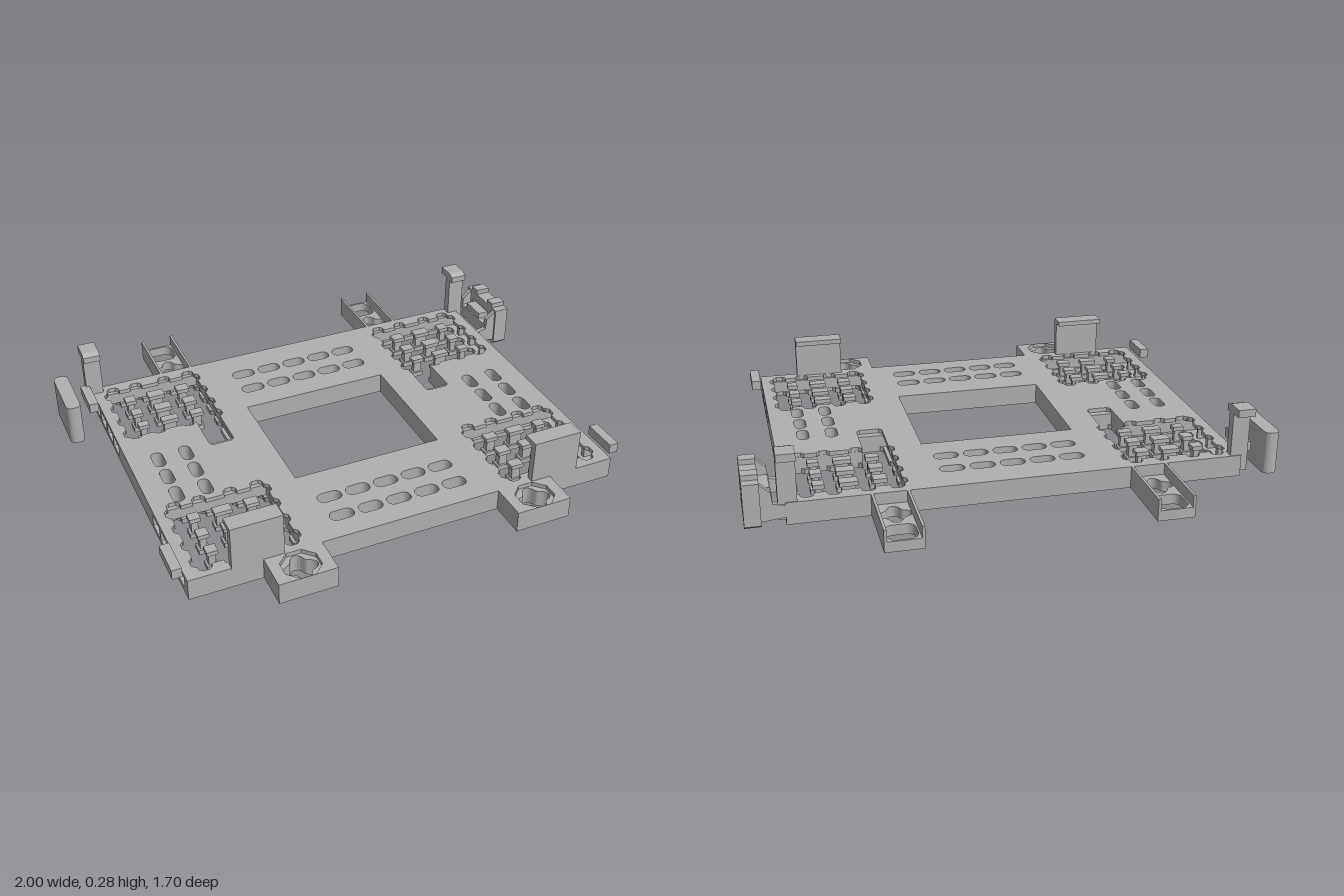
import * as THREE from 'three';

const grey = new THREE.MeshStandardMaterial({ color: 0xb0b0b0 });
grey.name = 'grey plastic';

// Plate edges and the lattice slot centres
const EDGE = 0.852, BACK = -0.575, FRONT = 0.702;
const XS = [0.45, 0.555, 0.677, 0.773];
const ZS_BACK = [-0.488, -0.39, -0.292, -0.203];
const ZS_FRONT = [0.337, 0.43, 0.527, 0.622];
const HALF = 0.027;
const LAYERS = { base: [0, 0.02], core: [0.02, 0.068], skin: [0.068, 0.085] };

const toVec = (pts) => pts.map(([a, b]) => new THREE.Vector2(a, b));
const mirror = (pts, s) => pts.map(([x, z]) => [x * s, z]);

function add(parent, name, geometry) {
  const mesh = new THREE.Mesh(geometry, grey);
  mesh.name = name;
  parent.add(mesh);
  return mesh;
}

function box(parent, name, x0, x1, y0, y1, z0, z1) {
  const g = new THREE.BoxGeometry(Math.abs(x1 - x0), y1 - y0, z1 - z0);
  return add(parent, name, g.translate((x0 + x1) / 2, (y0 + y1) / 2, (z0 + z1) / 2));
}

// Plan outline (x, z) with holes, raised from y0 to y1
function slab(parent, name, outline, holes, [y0, y1]) {
  const shape = new THREE.Shape(toVec(outline));
  holes.forEach((h) => shape.holes.push(new THREE.Path(toVec(h))));
  const g = new THREE.ExtrudeGeometry(shape, { depth: y1 - y0, bevelEnabled: false });
  return add(parent, name, g.rotateX(Math.PI / 2).translate(0, y1, 0));
}

// Rounded rectangle in plan
function rounded(cx, cz, w, d, r, n = 5) {
  const pts = [];
  [[1, 1], [-1, 1], [-1, -1], [1, -1]].forEach(([sx, sz], q) => {
    for (let i = 0; i <= n; i++) {
      const a = (q + i / n) * Math.PI / 2;
      pts.push([cx + sx * (w / 2 - r) + r * Math.cos(a), cz + sz * (d / 2 - r) + r * Math.sin(a)]);
    }
  });
  return pts;
}

// Four-lobed hole for a screw
function clover(cx, cz, r) {
  return Array.from({ length: 40 }, (_, i) => {
    const a = i / 40 * Math.PI * 2, k = r * (0.84 + 0.16 * Math.cos(4 * a));
    return [cx + k * Math.cos(a), cz + k * Math.sin(a)];
  });
}

const octagon = (cx, cz, r) => Array.from({ length: 8 }, (_, i) => {
  const a = (i + 0.5) * Math.PI / 4;
  return [cx + r * Math.cos(a), cz + r * Math.sin(a)];
});

// Chamfered slot end standing out of an edge
function bump(c, h, base, d) {
  const k = 0.012, s = Math.sign(d);
  return [[c - h, base], [c - h, base + d - s * k], [c - h + k, base + d],
    [c + h - k, base + d], [c + h, base + d - s * k], [c + h, base]];
}

// Scalloped outline of one lattice, with an optional long finger towards the middle
function latticeHole(zs, finger) {
  const h = 0.025, z0 = zs[0] - HALF, z1 = zs[3] + HALF;
  const x0 = XS[0] - HALF, x1 = XS[3] + HALF;
  const swap = (pts) => pts.map(([a, b]) => [b, a]);
  const top = XS.flatMap((x) => bump(x, h, z0, -0.03));
  const right = swap(zs.flatMap((z) => bump(z, h, x1, 0.016)));
  const bottom = XS.flatMap((x, i) => (finger && i === 0
    ? bump(0.476, 0.05, z1, finger) : bump(x, h, z1, finger ? 0.014 : 0.025)));
  const left = swap(zs.flatMap((z) => bump(z, h, x0, -0.015)));
  return [...top, ...right, ...bottom.reverse(), ...left.reverse()];
}

// Plate outline; the core is notched at the sides where the tunnels come out
function plateOutline(notched) {
  const notches = notched ? [
    [EDGE, -0.528], [0.412, -0.528], [0.412, -0.03], [0.526, -0.03], [0.526, -0.163], [EDGE, -0.163],
    [EDGE, 0.297], [0.412, 0.297], [0.412, 0.662], [EDGE, 0.662]] : [];
  const half = [[EDGE, BACK], ...notches, [EDGE, FRONT], [0.577, FRONT], [0.577, 0.845],
    [0.356, 0.845], [0.356, FRONT]];
  return [...half, ...mirror(half, -1).reverse()];
}

// Central window and the rows of ventilation slots
function commonHoles() {
  const holes = [[[-0.303, -0.187], [0.3, -0.187], [0.3, 0.325], [-0.303, 0.325]]];
  for (const z of [-0.43, -0.315, 0.478, 0.59])
    for (let i = -2; i <= 2; i++) holes.push(rounded(i * 0.115, z, 0.095, 0.052, 0.025));
  for (const x of [-0.74, -0.628, 0.623, 0.735])
    for (const z of [0.008, 0.122, 0.237]) holes.push(rounded(x, z, 0.046, 0.092, 0.022));
  return holes;
}

function buildPlate(group) {
  for (const [name, range] of Object.entries(LAYERS)) {
    const holes = commonHoles();
    for (const s of [-1, 1]) {
      holes.push(name === 'skin' ? octagon(s * 0.467, 0.775, 0.074) : clover(s * 0.467, 0.775, 0.064));
      if (name === 'core') continue;
      holes.push(mirror(latticeHole(ZS_BACK, name === 'skin' ? 0.175 : 0.147), s));
      holes.push(mirror(latticeHole(ZS_FRONT, 0), s));
    }
    slab(group, name + 'Plate', plateOutline(name === 'core'), holes, range);
  }
}

// Islands of the lattices and the wall pieces between side tunnels
function buildLattices(group) {
  for (const s of [-1, 1]) for (const zs of [ZS_BACK, ZS_FRONT]) for (let j = 0; j < 3; j++) {
    const z0 = zs[j] + HALF, z1 = zs[j + 1] - HALF;
    box(group, 'tunnelWall', s * 0.815, s * EDGE, ...LAYERS.core, zs[j] + 0.039, zs[j + 1] - 0.039);
    for (let i = 0; i < 3; i++) {
      const x0 = XS[i] + HALF, x1 = XS[i + 1] - HALF, k = 0.008;
      box(group, 'islandFoot', s * x0, s * x1, ...LAYERS.base, z0, z1);
      box(group, 'islandPost', s * (x0 + k), s * (x1 - k), ...LAYERS.core, z0 + k, z1 - k);
      box(group, 'islandCap', s * x0, s * x1, ...LAYERS.skin, z0, z1);
    }
  }
}

// Trough-shaped mounting tab at the back
function buildBackTab(group, s) {
  const c = s * 0.484, w = 0.07, end = -0.855;
  const outline = [[c - w, end], [c + w, end], [c + w, BACK], [c - w, BACK]];
  slab(group, 'backTabFloor', outline,
    [rounded(c, -0.793, 0.108, 0.108, 0.03), clover(c, -0.66, 0.062)], [0, 0.04]);
  for (const t of [-1, 1])
    box(group, 'backTabWall', c + t * (w - 0.01), c + t * w, 0, 0.085, end, BACK);
}

// Upright stop with a small lip at the front
function buildFrontStop(group, s) {
  box(group, 'frontStop', s * 0.498, s * 0.693, 0.08, 0.255, 0.675, 0.703);
  box(group, 'frontStopLip', s * 0.498, s * 0.693, 0.235, 0.255, 0.633, 0.675);
}

// Hooked post at the back corners
function buildHook(group, s) {
  const profile = [[-0.57, 0.02], [-0.535, 0.02], [-0.535, 0.25], [-0.515, 0.25], [-0.515, 0.275],
    [-0.54, 0.285], [-0.612, 0.285], [-0.612, 0.255], [-0.57, 0.255]];
  const g = new THREE.ExtrudeGeometry(new THREE.Shape(toVec(profile)), { depth: 0.068, bevelEnabled: false });
  // profile axis becomes z, extrusion runs along -x
  add(group, 'backHook', g.rotateY(-Math.PI / 2).translate(s * 0.844 + 0.034, 0, 0));
}

// Framed clip on the right back corner
function buildClip(group) {
  const frame = new THREE.Shape(toVec([[-0.582, 0.01], [-0.57, 0], [-0.34, 0], [-0.33, 0.01], [-0.33, 0.17],
    [-0.365, 0.17], [-0.365, 0.19], [-0.41, 0.19], [-0.41, 0.17], [-0.5, 0.17], [-0.5, 0.19],
    [-0.545, 0.19], [-0.545, 0.17], [-0.582, 0.17]]));
  frame.holes.push(new THREE.Path(toVec([[-0.53, 0.04], [-0.37, 0.04], [-0.37, 0.132], [-0.53, 0.132]])));
  const g = new THREE.ExtrudeGeometry(frame, { depth: 0.06, bevelEnabled: false });
  add(group, 'clipFrame', g.rotateY(-Math.PI / 2).translate(0.998, 0, 0));
  // braces rising from the plate to the frame
  const brace = new THREE.Shape(toVec([[0.85, 0.03], [0.94, 0.02], [0.94, 0.165], [0.9, 0.13], [0.895, 0.085], [0.85, 0.075]]));
  for (const z of [-0.575, -0.36]) {
    const b = new THREE.ExtrudeGeometry(brace, { depth: 0.022, bevelEnabled: false });
    add(group, 'clipBrace', b.translate(0, 0, z));
  }
  box(group, 'clipTongue', 0.895, 0.915, 0.045, 0.1, -0.56, -0.35);
  box(group, 'clipTongueTop', 0.9, 0.945, 0.1, 0.125, -0.52, -0.41);
}

export function createModel() {
  const group = new THREE.Group();
  group.name = 'mountingPlate';
  buildPlate(group);
  buildLattices(group);
  for (const s of [-1, 1]) {
    buildBackTab(group, s);
    buildFrontStop(group, s);
    buildHook(group, s);
    box(group, 'frontSideBar', s * 0.86, s * 0.897, 0.088, 0.127, 0.535, 0.677);
  }
  box(group, 'backSideBar', -0.9, -0.863, 0.088, 0.127, -0.55, -0.4);
  buildClip(group);
  slab(group, 'sideCap', rounded(-0.971, -0.465, 0.058, 0.25, 0.024), [], [0.004, 0.17]);
  return group;
}
